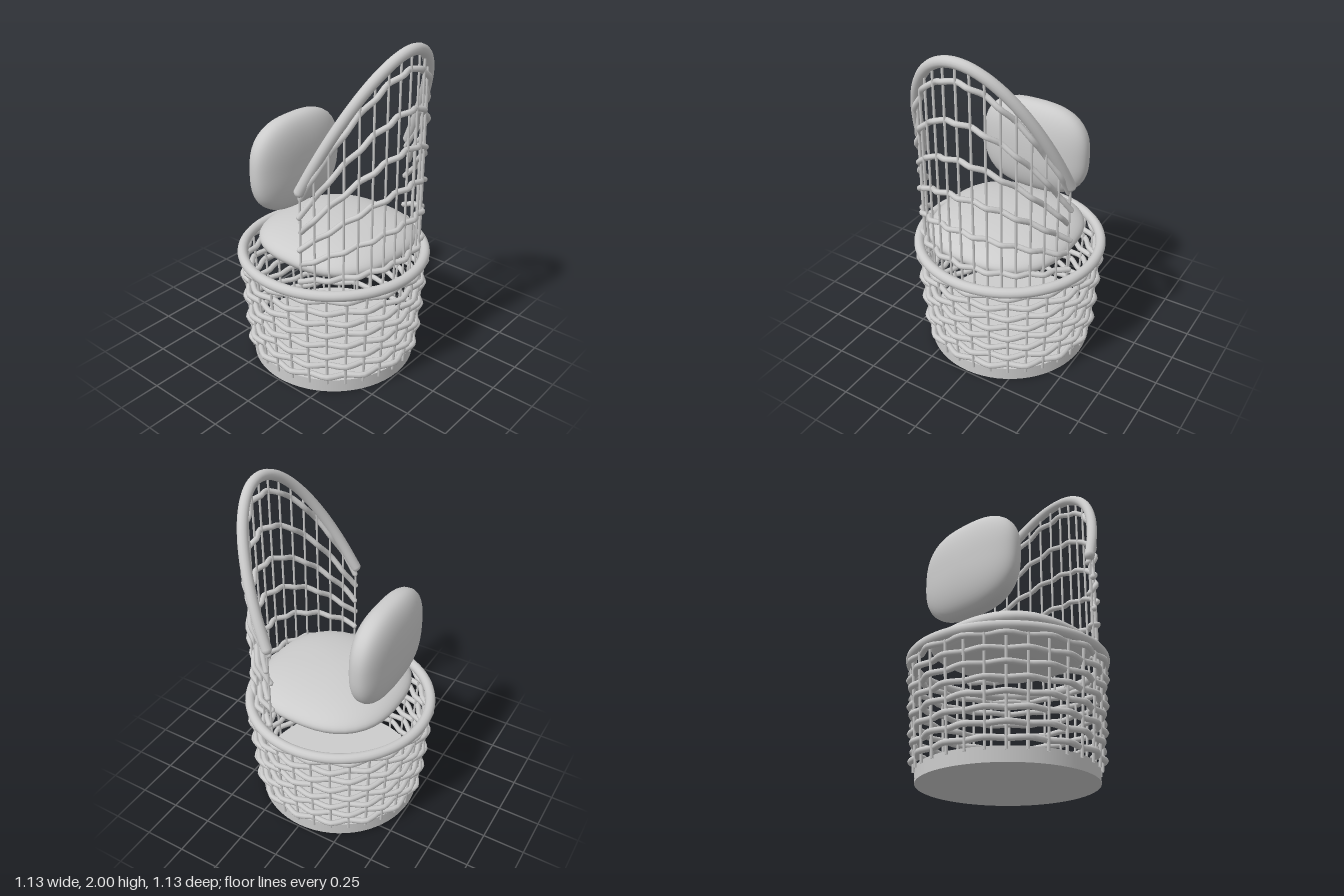
import * as THREE from 'three';
import { mergeVertices } from 'three/addons/utils/BufferGeometryUtils.js';

const material = new THREE.MeshStandardMaterial({ color: 0xcccccc, side: THREE.DoubleSide });
const V = (x, y, z) => new THREE.Vector3(x, y, z);
const polar = (a, r, y) => V(r * Math.cos(a), y, r * Math.sin(a));

function add(parent, name, geometry) {
  const mesh = new THREE.Mesh(geometry, material);
  mesh.name = name;
  parent.add(mesh);
  return mesh;
}

function tube(points, radius, segments, sides = 8, closed = false) {
  const curve = new THREE.CatmullRomCurve3(points, closed);
  return new THREE.TubeGeometry(curve, segments, radius, sides, closed);
}

// Thin straight rod between two points
function rod(a, b, radius) {
  return new THREE.TubeGeometry(new THREE.LineCurve3(a, b), 1, radius, 6);
}

// Sphere pushed out into a plump rounded square: n shapes the outline, m the side profile
function cushionGeometry(hx, hy, hz, n, m) {
  let g = new THREE.SphereGeometry(1, 48, 32);
  const p = g.attributes.position;
  for (let i = 0; i < p.count; i++) {
    const x = p.getX(i), y = p.getY(i), z = p.getZ(i);
    const r = Math.hypot(x, z);
    const s = (r ** m + Math.abs(y) ** m) ** (-1 / m);
    const k = r > 1e-6 ? r / (Math.abs(x) ** n + Math.abs(z) ** n) ** (1 / n) : 0;
    p.setXYZ(i, x * s * k * hx, y * s * hy, z * s * k * hz);
  }
  g.deleteAttribute('uv');
  g.deleteAttribute('normal');
  g = mergeVertices(g, 1e-5);
  g.computeVertexNormals();
  return g;
}

export function createModel() {
  const model = new THREE.Group();
  const basket = new THREE.Group();
  basket.name = 'basket';
  const back = new THREE.Group();
  back.name = 'backrest';
  model.add(basket, back);

  // Solid drum at the foot
  add(basket, 'base', new THREE.CylinderGeometry(0.49, 0.49, 0.08, 64)).position.y = 0.04;

  // Flared basket: stakes and woven strands passing alternately in and out
  const stakes = 30, rows = 8;
  const basketRadius = (y) => 0.498 + 0.04 * (y - 0.08) / 0.6;
  for (let i = 0; i < stakes; i++) {
    const a = i / stakes * Math.PI * 2;
    add(basket, 'basketStake', rod(polar(a, basketRadius(0.06), 0.06), polar(a, basketRadius(0.68), 0.68), 0.008));
  }
  for (let row = 0; row < rows; row++) {
    const y = 0.08 + 0.6 * (row + 0.5) / rows;
    const points = [];
    for (let i = 0; i < stakes * 2; i++) {
      const a = i / (stakes * 2) * Math.PI * 2;
      const wave = Math.cos(a * stakes / 2 + row * Math.PI);
      points.push(polar(a, basketRadius(y) + 0.014 * wave, y));
    }
    add(basket, 'basketStrand', tube(points, 0.017, stakes * 4, 8, true));
  }

  // Rolled rim
  const rim = add(basket, 'basketRim', new THREE.TorusGeometry(0.537, 0.03, 14, 80));
  rim.rotation.x = Math.PI / 2;
  rim.position.y = 0.68;

  // Curved backrest with a sloping top rail
  const R = 0.503, bars = 16;
  const start = THREE.MathUtils.degToRad(20), sweep = THREE.MathUtils.degToRad(140);
  const angle = (t) => start + sweep * t;
  const railY = (a) => 1.27 + 0.7 * (R * Math.sin(a) - 0.172) / (R - 0.172);
  const railPoints = [];
  for (let i = 0; i <= bars; i++) {
    const a = angle(i / bars);
    railPoints.push(polar(a, R, railY(a)));
    add(back, 'backBar', rod(polar(a, R, 0.68), polar(a, R, railY(a)), 0.007));
  }
  add(back, 'backRail', tube(railPoints, 0.03, 72, 14));
  for (const end of [railPoints[0], railPoints[bars]]) {
    add(back, 'backRailEnd', new THREE.SphereGeometry(0.03, 14, 10)).position.copy(end);
  }

  // Woven strands fanning up towards the rail
  for (let row = 0; row < 6; row++) {
    const points = [];
    for (let i = 0; i <= bars * 2; i++) {
      const a = angle(i / (bars * 2));
      const wave = Math.cos(i * Math.PI / 2 + row * Math.PI);
      const y = THREE.MathUtils.lerp(0.7, railY(a), 0.07 + 0.17 * row);
      points.push(polar(a, R + 0.012 * wave, y));
    }
    add(back, 'backStrand', tube(points, 0.016, bars * 5));
    for (const end of [points[0], points[bars * 2]]) {
      add(back, 'backStrandEnd', new THREE.SphereGeometry(0.016, 8, 6)).position.copy(end);
    }
  }

  // Cushions
  add(model, 'seatCushion', cushionGeometry(0.43, 0.115, 0.43, 2.5, 2)).position.set(0, 0.785, 0.035);
  const pillow = add(model, 'pillow', cushionGeometry(0.345, 0.115, 0.287, 2.7, 2.4));
  pillow.rotation.x = Math.PI / 2;
  pillow.position.set(0, 1.168, -0.296);

  return model;
}
